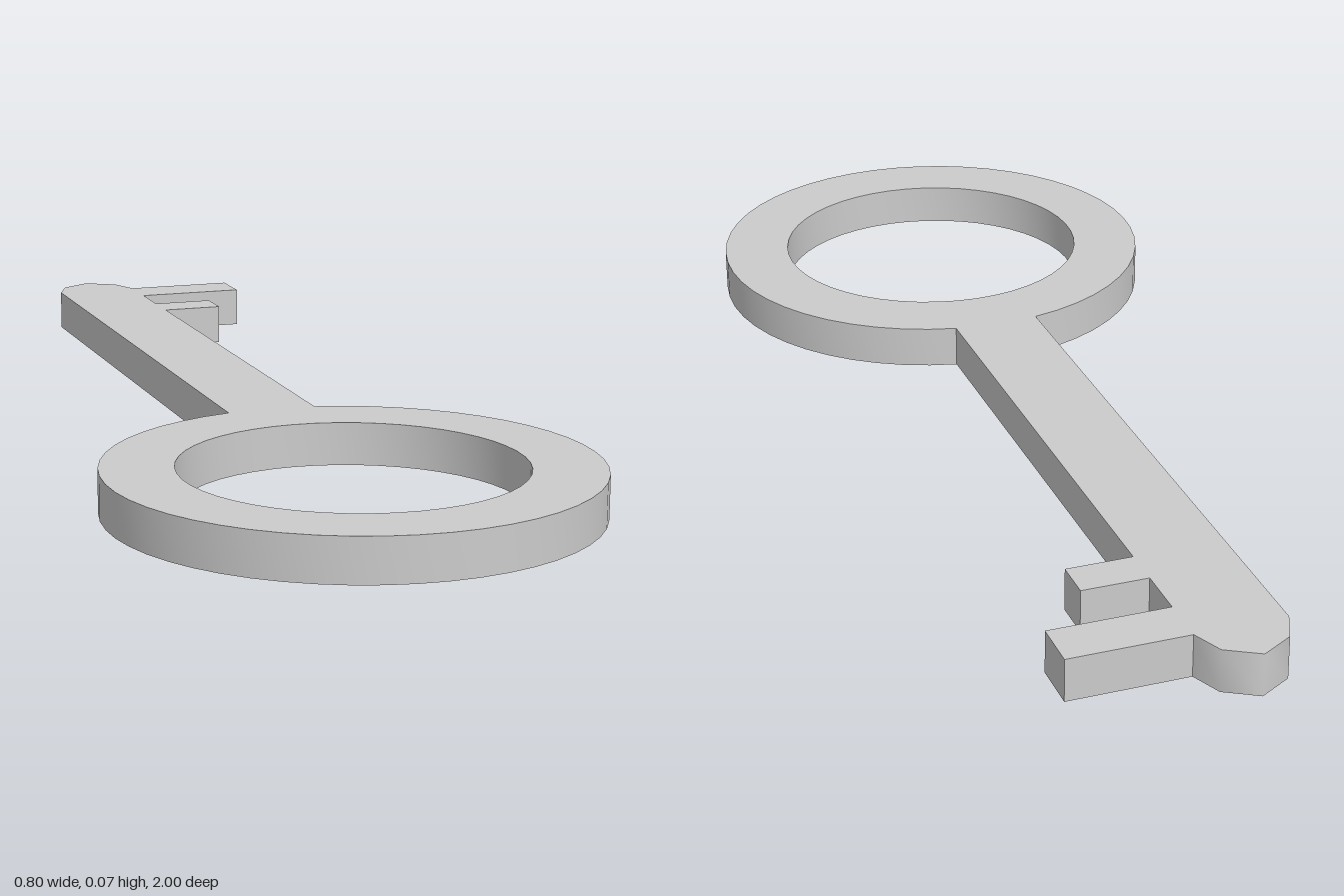
import * as THREE from 'three';
import { toCreasedNormals } from 'three/addons/utils/BufferGeometryUtils.js';

const THICKNESS = 0.073;
const BOW = { y: -0.6, outer: 0.4, inner: 0.28 }; // ring handle
const HALF = 0.077;                               // half width of the shaft

export function createModel() {
  const group = new THREE.Group();
  group.name = 'key';

  // Plan outline, drawn with the tip towards +y
  const outline = new THREE.Shape();

  // Outer rim of the bow, running from one side of the shaft round to the other
  const gap = Math.asin(HALF / BOW.outer);
  outline.absarc(0, BOW.y, BOW.outer, Math.PI / 2 + gap, Math.PI * 2.5 - gap, false);

  // Shaft edge with the two teeth: [lower y, upper y, reach]
  for (const [low, high, reach] of [[0.673, 0.742, 0.19], [0.832, 0.916, 0.28]]) {
    outline.lineTo(HALF, low);
    outline.lineTo(reach, low);
    outline.lineTo(reach, high);
    outline.lineTo(HALF, high);
  }

  // Pointed tip and the plain shaft edge
  outline.lineTo(0.055, 0.968);
  outline.lineTo(0, 1);
  outline.lineTo(-0.055, 0.968);
  outline.lineTo(-HALF, 0.916);
  outline.closePath();

  // Finger hole
  const hole = new THREE.Path();
  hole.absarc(0, BOW.y, BOW.inner, 0, Math.PI * 2, true);
  outline.holes.push(hole);

  // Flat plate lying on the ground, tip towards the back
  const plate = new THREE.ExtrudeGeometry(outline, {
    depth: THICKNESS, bevelEnabled: false, curveSegments: 24,
  });
  plate.rotateX(-Math.PI / 2);

  const key = new THREE.Mesh(
    toCreasedNormals(plate, THREE.MathUtils.degToRad(66)),
    new THREE.MeshStandardMaterial({ color: 0xcccccc }),
  );
  key.name = 'keyPlate';
  group.add(key);
  return group;
}
